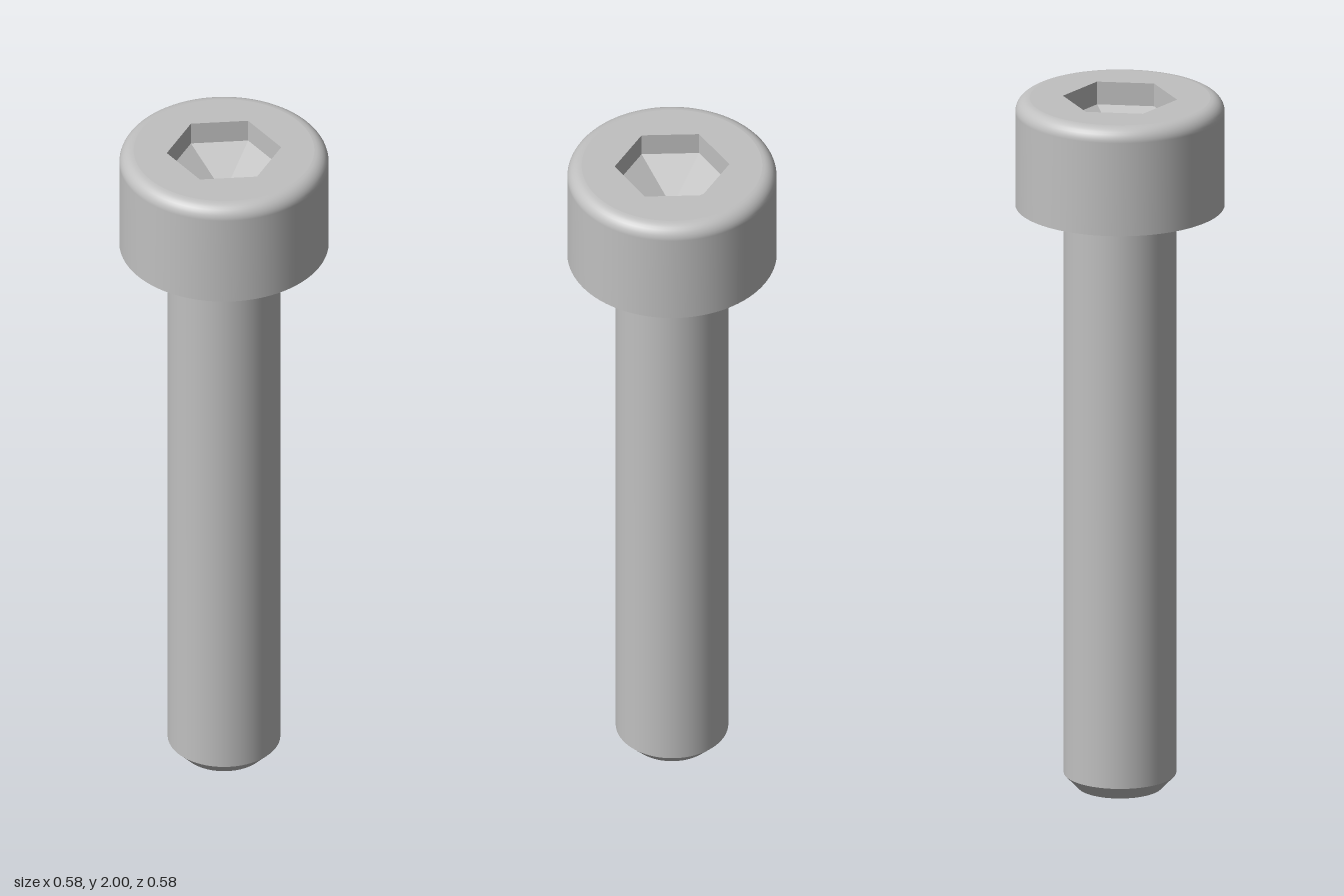
import * as THREE from 'three';

const HEAD_R = 0.29, HEAD_BASE = 1.69, TOP = 2, FILLET = 0.04;
const SHANK_R = 0.156, NECK = 0.015;
const HEX_R = 0.159, HEX_WALL = 0.066, HEX_TIP = 0.146;

export function createModel() {
  const group = new THREE.Group();
  const steel = new THREE.MeshStandardMaterial({ color: 0xc0c0c0 });
  steel.name = 'steel';

  const add = (name, geometry) => {
    const mesh = new THREE.Mesh(geometry, steel);
    mesh.name = name;
    group.add(mesh);
  };
  const lathe = (points, sides = 96) =>
    new THREE.LatheGeometry(points.map(([r, y]) => new THREE.Vector2(r, y)), sides);
  // Quarter-round profile points between two angles
  const arc = (cx, cy, r, from, to, steps = 8) =>
    Array.from({ length: steps + 1 }, (_, i) => {
      const a = from + (to - from) * i / steps;
      return [cx + r * Math.cos(a), cy + r * Math.sin(a)];
    });

  // Shank: flat end, chamfer, plain body flaring into the head
  add('shankEnd', lathe([[0, 0], [0.118, 0]]));
  add('shankChamfer', lathe([[0.118, 0], [SHANK_R, 0.04]]));
  add('shank', lathe([
    [SHANK_R, 0.04],
    ...arc(SHANK_R + NECK, HEAD_BASE - NECK, NECK, Math.PI, Math.PI / 2),
  ]));

  // Head: underside ring, side wall with rounded upper rim
  add('headUnderside', lathe([[SHANK_R + NECK, HEAD_BASE], [HEAD_R, HEAD_BASE]]));
  add('headSide', lathe([
    [HEAD_R, HEAD_BASE],
    ...arc(HEAD_R - FILLET, TOP - FILLET, FILLET, 0, Math.PI / 2),
  ]));

  // Flat top with the hexagonal opening
  const top = new THREE.Shape().absarc(0, 0, HEAD_R - FILLET, 0, Math.PI * 2);
  const hex = Array.from({ length: 6 }, (_, i) => {
    const a = i * Math.PI / 3;
    return new THREE.Vector2(HEX_R * Math.sin(a), HEX_R * Math.cos(a));
  });
  top.holes.push(new THREE.Path(hex));
  add('headTop', new THREE.ShapeGeometry(top, 96).rotateX(-Math.PI / 2).translate(0, TOP, 0));

  // Socket: six flat walls and a shallow pyramid floor
  const faceted = (points) => {
    const g = lathe(points, 6).toNonIndexed();
    g.computeVertexNormals();
    return g;
  };
  add('socketWalls', faceted([[HEX_R, TOP], [HEX_R, TOP - HEX_WALL]]));
  add('socketFloor', faceted([[HEX_R, TOP - HEX_WALL], [0, TOP - HEX_TIP]]));

  return group;
}
